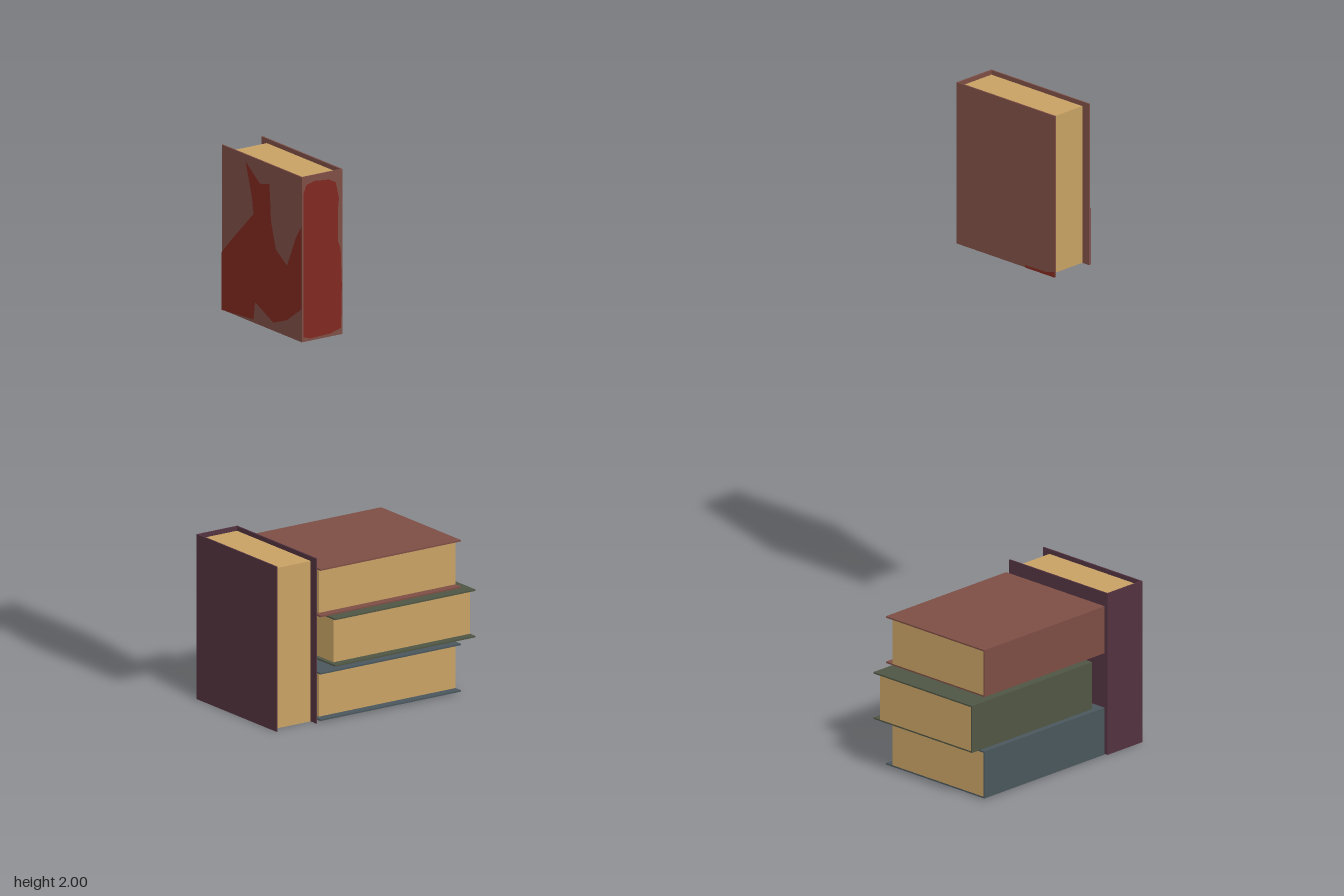
import * as THREE from 'three';

const mat = (name, color) => {
  const m = new THREE.MeshStandardMaterial({ color });
  m.name = name;
  return m;
};

// Book proportions: thickness, height, depth, cover board, page insets
const T = 0.16, H = 0.55, D = 0.438, C = 0.005, TOP = 0.015, FORE = 0.029;

export function createModel() {
  const paper = mat('paper', 0xc8a264);
  const brown = mat('brownLeather', 0x7d4e45);
  const green = mat('greenCloth', 0x505644);
  const slate = mat('slateCloth', 0x4a575d);
  const plum = mat('plumLeather', 0x533340);
  const red = mat('redStain', 0x80291f);
  red.side = THREE.DoubleSide;

  const box = (parent, name, material, w, h, d, x, y, z) => {
    const mesh = new THREE.Mesh(new THREE.BoxGeometry(w, h, d), material);
    mesh.name = name;
    mesh.position.set(x, y, z);
    parent.add(mesh);
  };

  // Upright book, centred in x and z, base at y = 0, spine towards -z
  const book = (name, cover) => {
    const g = new THREE.Group();
    g.name = name;
    for (const s of [-1, 1]) {
      box(g, s < 0 ? 'rightCover' : 'leftCover', cover, C, H, D, s * (T - C) / 2, H / 2, 0);
    }
    box(g, 'spine', cover, T - 2 * C, H, C, 0, H / 2, -D / 2 + C / 2);
    const depth = D - C - FORE;
    box(g, 'pages', paper, T - 2 * C, H - TOP, depth, 0, (H - TOP) / 2, -D / 2 + C + depth / 2);
    return g;
  };

  const model = new THREE.Group();
  model.name = 'books';

  const standing = book('standingBook', plum);
  standing.position.set(-0.2, 0, -0.224);
  model.add(standing);

  // Stack of lying books, heads towards the standing one
  [['bottomBook', slate, 0.443, 0.085],
   ['middleBook', green, 0.5, 0.256],
   ['topBook', brown, 0.443, 0.431]].forEach(([name, cover, x, y]) => {
    const b = book(name, cover);
    b.rotation.z = Math.PI / 2;
    b.position.set(x, y, -0.224);
    model.add(b);
  });

  // Floating book, spine towards the front
  const floating = book('floatingBook', brown);
  floating.rotation.y = Math.PI;
  floating.position.set(-0.42, 1.45, 0.224);
  model.add(floating);

  // Flat stains, outlined in fractions of the face they lie on
  const stain = (name, points, w) => {
    const shape = new THREE.Shape(points.map(([u, v]) => new THREE.Vector2((u - 0.5) * w, v * H)));
    const mesh = new THREE.Mesh(new THREE.ShapeGeometry(shape), red);
    mesh.name = name;
    floating.add(mesh);
    return mesh;
  };

  const spineStain = stain('spineStain', [
    [0.03, 0.03], [0.2, 0.015], [0.7, 0.02], [0.95, 0.04], [0.97, 0.3], [0.94, 0.52],
    [0.88, 0.57], [0.87, 0.75], [0.9, 0.83], [0.82, 0.93], [0.65, 0.955], [0.3, 0.965],
    [0.1, 0.95], [0.03, 0.9]], T);
  spineStain.rotation.y = Math.PI;
  spineStain.position.z = -D / 2 - 0.002;

  const coverStain = stain('coverStain', [
    [0, 0], [0.4, 0.02], [0.42, 0.13], [0.65, 0.05], [0.82, 0.1], [1, 0.2], [1, 0.7],
    [0.93, 0.62], [0.82, 0.43], [0.68, 0.5], [0.62, 0.66], [0.6, 0.88], [0.48, 0.86],
    [0.3, 0.96], [0.38, 0.76], [0.4, 0.66], [0.15, 0.47], [0, 0.35]], D);
  coverStain.rotation.y = Math.PI / 2;
  coverStain.position.x = T / 2 + 0.002;

  const cornerStain = stain('cornerStain', [
    [0.7, 0], [1, 0], [1, 0.035], [0.92, 0.018], [0.7, 0.015]], D);
  cornerStain.rotation.y = -Math.PI / 2;
  cornerStain.position.x = -T / 2 - 0.002;

  return model;
}
